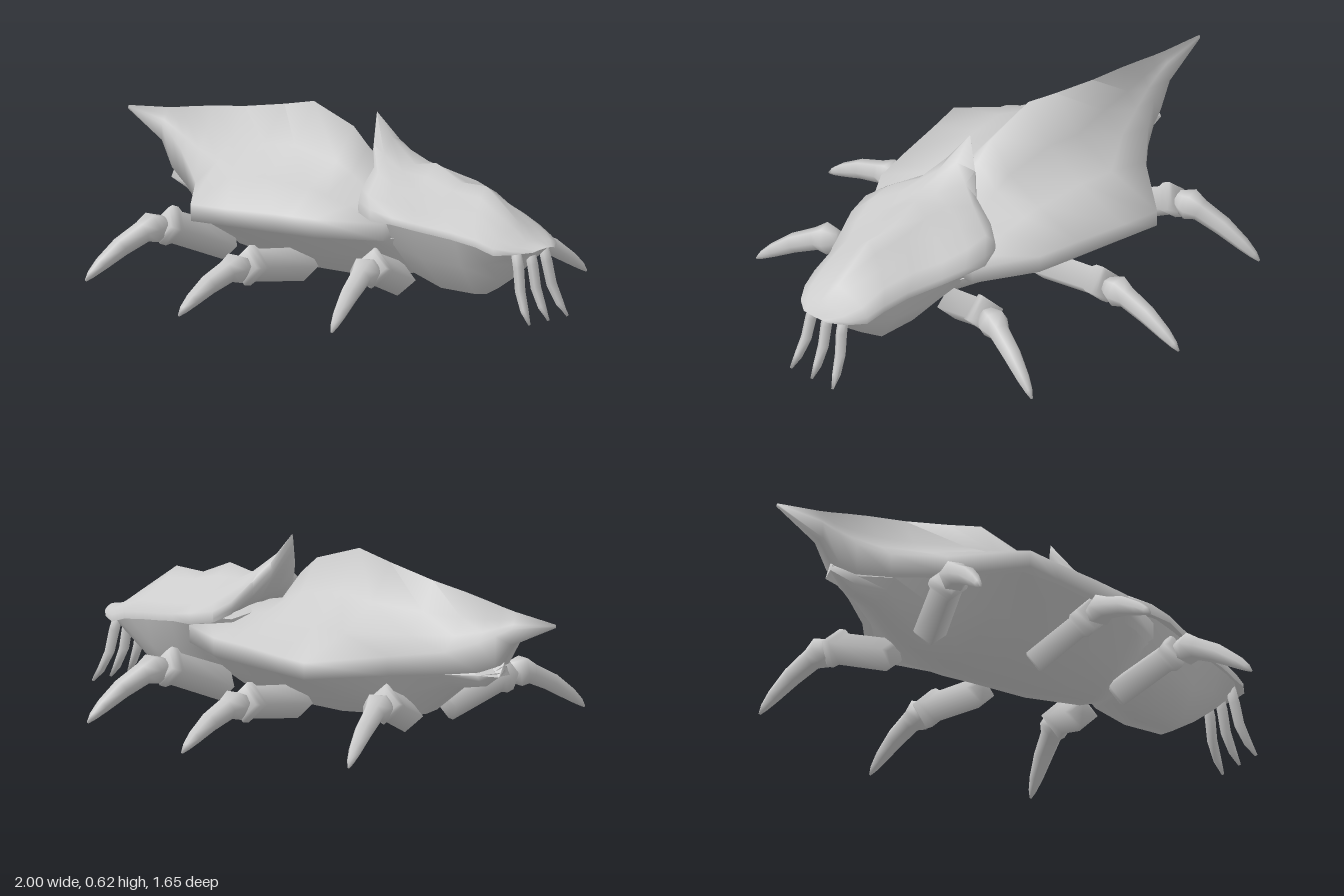
import * as THREE from 'three';
import { toCreasedNormals } from 'three/addons/utils/BufferGeometryUtils.js';

const V = (x, y, z) => new THREE.Vector3(x, y, z);

// Skin a list of equal-length closed rings, with caps on the ends unless they are pinched shut
function loft(rings, crease = 1.5, capped = true) {
  const n = rings[0].length, tris = [];
  for (let i = 0; i < rings.length - 1; i++) {
    for (let j = 0; j < n; j++) {
      const k = (j + 1) % n;
      const a = rings[i][j], b = rings[i][k], c = rings[i + 1][k], d = rings[i + 1][j];
      tris.push([a, b, c], [a, c, d]);
    }
  }
  if (capped) {
    const first = rings[0], last = rings[rings.length - 1];
    const centre = (r) => r.reduce((s, p) => s.add(p), V(0, 0, 0)).divideScalar(n);
    const c0 = centre(first), c1 = centre(last);
    for (let j = 0; j < n; j++) {
      const k = (j + 1) % n;
      tris.push([c0, first[k], first[j]], [c1, last[j], last[k]]);
    }
  }
  // Turn the faces outwards whichever way the rings run
  let volume = 0;
  for (const [a, b, c] of tris) volume += a.dot(b.clone().cross(c));
  const pos = [];
  for (const [a, b, c] of tris) {
    if (b.clone().sub(a).cross(c.clone().sub(a)).length() < 1e-9) continue;
    for (const p of volume > 0 ? [a, b, c] : [a, c, b]) pos.push(p.x, p.y, p.z);
  }
  const geo = new THREE.BufferGeometry();
  geo.setAttribute('position', new THREE.Float32BufferAttribute(pos, 3));
  return toCreasedNormals(geo, crease);
}

// Half outline from the ridge (z = 0) down to the keel (z = 0), mirrored into a ring
function mirrorRing(half) {
  const back = half.slice(1, -1).reverse().map(([x, y, z]) => [x, y, -z]);
  return [...half, ...back].map((p) => V(...p));
}

// Tapered limb: stations are [x, y, z, radius]
function limb(stations, sides) {
  const pts = stations.map((s) => V(s[0], s[1], s[2]));
  return loft(stations.map((s, i) => {
    const dir = pts[Math.min(i + 1, pts.length - 1)].clone().sub(pts[Math.max(i - 1, 0)]).normalize();
    const up = Math.abs(dir.y) > 0.85 ? V(0, 0, 1) : V(0, 1, 0);
    const u = up.cross(dir).normalize();
    const v = dir.clone().cross(u);
    return Array.from({ length: sides }, (_, j) => {
      const t = (j / sides) * Math.PI * 2;
      return pts[i].clone().addScaledVector(u, Math.cos(t) * s[3]).addScaledVector(v, Math.sin(t) * s[3]);
    });
  }), 1.62);
}

export function createModel() {
  const model = new THREE.Group();
  const chitin = new THREE.MeshStandardMaterial({ color: 0xcccccc });
  chitin.name = 'grey chitin';
  const add = (name, geo, parent = model) => {
    const mesh = new THREE.Mesh(geo, chitin);
    mesh.name = name;
    parent.add(mesh);
  };

  // Back shell: x, ridge height, half width, rim top, rim bottom
  const shell = [
    [-1, 0.467, 0.003, 0.462, 0.455],
    [-0.82, 0.488, 0.025, 0.43, 0.375],
    [-0.76, 0.498, 0.038, 0.40, 0.29],
    [-0.7, 0.51, 0.06, 0.37, 0.265],
    [-0.6, 0.528, 0.125, 0.335, 0.255],
    [-0.45, 0.55, 0.25, 0.32, 0.25],
    [-0.26, 0.588, 0.48, 0.31, 0.25],
    [-0.12, 0.62, 0.45, 0.31, 0.25],
    [0.07, 0.56, 0.41, 0.315, 0.25],
    [0.14, 0.50, 0.395, 0.315, 0.25],
    [0.23, 0.39, 0.375, 0.315, 0.25],
    [0.44, 0.34, 0.25, 0.31, 0.25],
  ];
  add('backShell', loft(shell.map(([x, top, w, rim, low]) => mirrorRing([
    [x, top, 0],
    [x, rim + (top - rim) * 0.55, w * 0.22],
    [x, rim + (top - rim) * 0.25, w * 0.55],
    [x, rim, w],
    [x, low, w * 0.995],
    [x, low, 0],
  ])), 2));

  // Keeled body under the shell: x, upper half width, keel half width, keel height
  const belly = [
    [-0.77, 0.03, 0.012, 0.282],
    [-0.69, 0.055, 0.02, 0.205],
    [-0.58, 0.12, 0.035, 0.185],
    [-0.42, 0.24, 0.06, 0.07],
    [-0.25, 0.43, 0.07, 0.055],
    [-0.1, 0.42, 0.07, 0.043],
    [0.12, 0.37, 0.07, 0.05],
    [0.35, 0.27, 0.06, 0.08],
    [0.46, 0.2, 0.05, 0.12],
  ];
  add('belly', loft(belly.map(([x, w, kw, y]) => mirrorRing([
    [x, 0.3, 0], [x, 0.252, w], [x, y + (0.252 - y) * 0.5, kw + (w - kw) * 0.52], [x, y + 0.006, kw], [x, y, 0],
  ]))));

  // Head shield: rows from the raised collar to the snout, each from ridge to rim
  const shield = [
    [[0.18, 0.63, 0], [0.225, 0.53, 0.065], [0.27, 0.465, 0.11], [0.292, 0.405, 0.2], [0.33, 0.375, 0.255]],
    [[0.25, 0.55, 0], [0.275, 0.5, 0.065], [0.305, 0.45, 0.13], [0.35, 0.397, 0.23], [0.41, 0.362, 0.282]],
    [[0.36, 0.47, 0], [0.37, 0.455, 0.07], [0.4, 0.425, 0.15], [0.44, 0.385, 0.23], [0.5, 0.345, 0.268]],
    [[0.46, 0.49, 0], [0.47, 0.452, 0.06], [0.5, 0.41, 0.13], [0.54, 0.365, 0.2], [0.58, 0.33, 0.235]],
    [[0.58, 0.44, 0], [0.585, 0.42, 0.05], [0.6, 0.39, 0.1], [0.64, 0.35, 0.155], [0.7, 0.31, 0.185]],
    [[0.7, 0.445, 0], [0.71, 0.41, 0.04], [0.73, 0.375, 0.08], [0.76, 0.335, 0.13], [0.8, 0.295, 0.165]],
    [[0.86, 0.335, 0], [0.86, 0.325, 0.035], [0.86, 0.315, 0.07], [0.865, 0.295, 0.115], [0.87, 0.272, 0.148]],
    [[0.92, 0.285, 0], [0.92, 0.283, 0.03], [0.92, 0.28, 0.06], [0.925, 0.275, 0.085], [0.93, 0.265, 0.11]],
    [[0.99, 0.272, 0], [0.988, 0.27, 0.012], [0.985, 0.268, 0.025], [0.98, 0.265, 0.04], [0.975, 0.26, 0.055]],
  ];
  // Thickness of each row at the rim and at the ridge
  const thickness = [[0.04, 0.06], [0.04, 0.13], [0.025, 0.12], [0.025, 0.11], [0.025, 0.08],
    [0.025, 0.08], [0.025, 0.04], [0.012, 0.012], [0, 0]];
  const shieldRing = (row, [atRim, atRidge]) => mirrorRing([
    ...row,
    ...row.slice().reverse().map(([x, y, z], j) => [x, y - atRim - (atRidge - atRim) * (j / 4), z]),
  ]);
  // The collar's back edge is closed along its middle line
  const collarEdge = shield[0].map(([x, y, z]) => [x - 0.004, y - 0.025, z]);
  add('headShield', loft([
    shieldRing(collarEdge, [0, 0]),
    ...shield.map((row, i) => shieldRing(row, thickness[i])),
  ], 1.5, false));

  // Head below the shield: x, half width, jaw half width, upper height, keel height
  const head = [
    [0.3, 0.19, 0.07, 0.34, 0.2],
    [0.44, 0.25, 0.09, 0.345, 0.1],
    [0.55, 0.225, 0.07, 0.32, 0.06],
    [0.7, 0.17, 0.06, 0.295, 0.06],
    [0.8, 0.145, 0.055, 0.275, 0.125],
    [0.88, 0.12, 0.045, 0.262, 0.19],
    [0.94, 0.06, 0.03, 0.258, 0.245],
  ];
  add('head', loft(head.map(([x, w, kw, top, y]) => mirrorRing([
    [x, top + 0.01, 0], [x, top, w], [x, y + (top - y) * 0.5, w * 0.76], [x, y + 0.01, kw], [x, y, 0],
  ]))));

  // Feelers hanging from the snout
  for (const z of [-0.08, 0, 0.08]) {
    add('feeler', limb([
      [0.9, 0.27, z * 0.85, 0.018], [0.92, 0.2, z * 0.9, 0.02], [0.935, 0.12, z, 0.019],
      [0.965, 0.055, z * 1.12, 0.015], [0.995, 0.012, z * 1.22, 0.005],
    ], 6));
  }

  // Legs: hip, knee and tip for one side, mirrored to the other
  const legs = [
    ['frontLeg', [0.39, 0.08, 0.1], [0.475, 0.18, 0.35], [0.57, 0.014, 0.65]],
    ['middleLeg', [0.005, 0.085, 0.16], [0.005, 0.135, 0.49], [0.005, 0.014, 0.825]],
    ['rearLeg', [-0.42, 0.08, 0.1], [-0.51, 0.18, 0.35], [-0.6, 0.014, 0.65]],
  ];
  for (const [name, hip, knee, tip] of legs) {
    for (const side of [1, -1]) {
      const leg = new THREE.Group();
      leg.name = name;
      model.add(leg);
      const between = (a, b, t, lift, r) => [
        a[0] + (b[0] - a[0]) * t, a[1] + (b[1] - a[1]) * t + lift, (a[2] + (b[2] - a[2]) * t) * side, r];
      // Thick upper leg with a flared cuff
      add('upperLeg', limb([
        [0, 0, 0.045], [0.05, 0, 0.06], [0.8, 0, 0.058], [0.87, 0, 0.071], [0.96, 0, 0.071], [1, 0, 0.06],
      ].map(([t, l, r]) => between(hip, knee, t, l, r)), 4), leg);
      // Curved claw with a swollen joint
      add('claw', limb([
        [-0.02, 0, 0.03], [0.06, 0.005, 0.045], [0.14, 0.015, 0.057], [0.27, 0.024, 0.04],
        [0.55, 0.028, 0.035], [0.8, 0.017, 0.025], [0.93, 0.007, 0.015], [1, -0.002, 0.004],
      ].map(([t, l, r]) => between(knee, tip, t, l, r)), 6), leg);
    }
  }
  return model;
}
